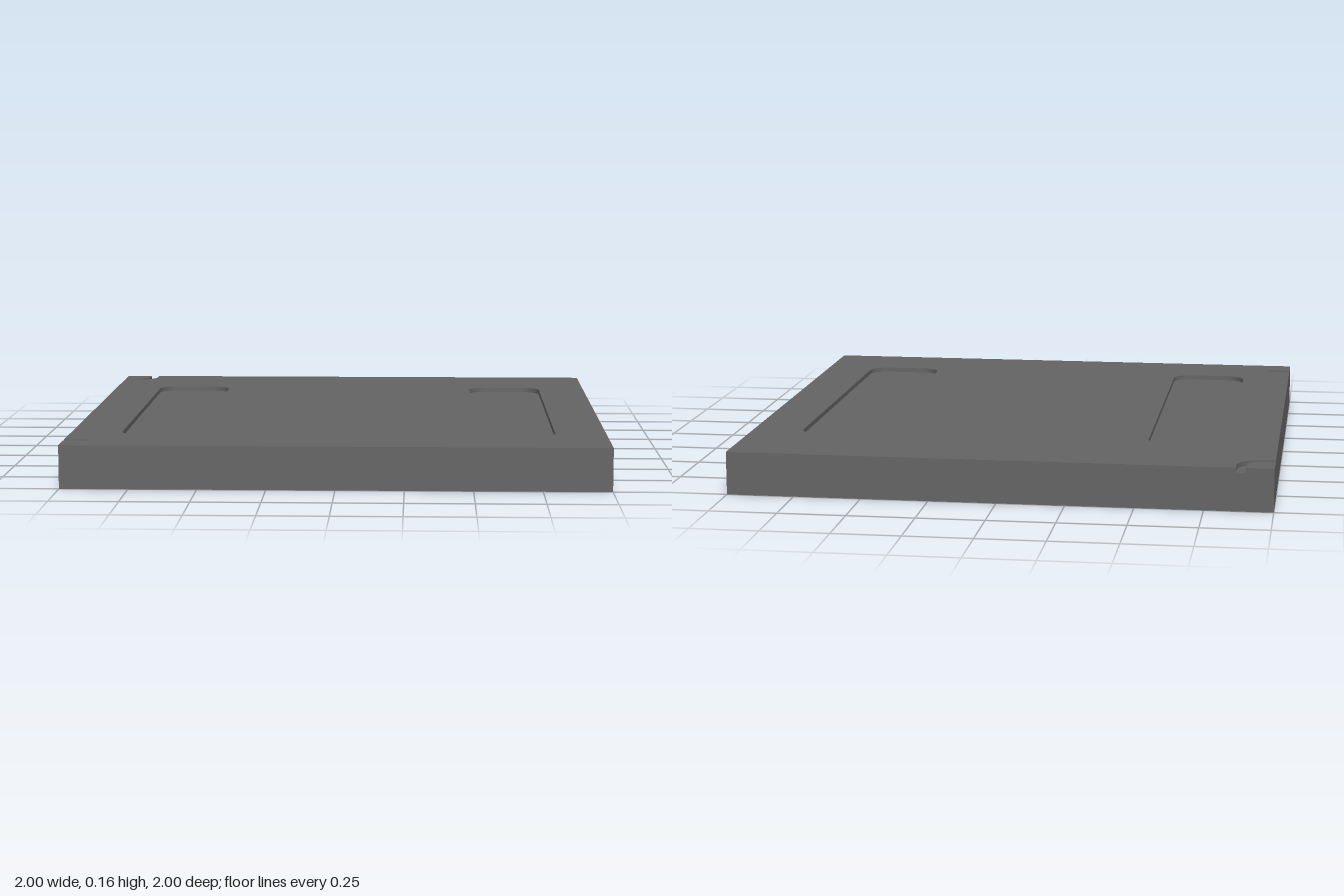
import * as THREE from 'three';
import { toCreasedNormals } from 'three/addons/utils/BufferGeometryUtils.js';

const TOP = 0.16, FLOOR = 0.142; // plate height and recess floor height
const material = new THREE.MeshStandardMaterial({ color: 0x646464, side: THREE.DoubleSide });
const v = (x, y) => new THREE.Vector2(x, y);

// Plan outlines use (x, -z)
function arc(cx, cy, r, a0, a1, n = 8) {
  return Array.from({ length: n + 1 }, (_, i) => {
    const a = a0 + (a1 - a0) * i / n;
    return v(cx + r * Math.cos(a), cy + r * Math.sin(a));
  });
}

function roundedRect(x0, x1, y0, y1, r) {
  const q = Math.PI / 2;
  return [
    ...arc(x1 - r, y1 - r, r, 0, q), ...arc(x0 + r, y1 - r, r, q, 2 * q),
    ...arc(x0 + r, y0 + r, r, 2 * q, 3 * q), ...arc(x1 - r, y0 + r, r, 3 * q, 4 * q),
  ];
}

// Rounded line around the back right corner, s away from it
const cornerLine = (s, r) => [v(s - 1, 1), ...arc(s - 1 - r, 1 - s + r, r, 0, -Math.PI / 2), v(-1, 1 - s)];

// Flat horizontal sheet at height y
function sheet(points, y, holes = []) {
  const shape = new THREE.Shape(points);
  shape.holes = holes.map((h) => new THREE.Path(h));
  return new THREE.ShapeGeometry(shape).rotateX(-Math.PI / 2).translate(0, y, 0);
}

// Vertical band between the recess floor and the plate, following a plan line
function band(points, closed = false) {
  const pos = [], index = [];
  const line = closed ? [...points, points[0]] : points;
  line.forEach((p, i) => {
    pos.push(p.x, FLOOR, -p.y, p.x, TOP, -p.y);
    if (i) {
      const a = 2 * i - 2;
      index.push(a, a + 1, a + 2, a + 1, a + 3, a + 2);
    }
  });
  const g = new THREE.BufferGeometry();
  g.setAttribute('position', new THREE.Float32BufferAttribute(pos, 3));
  g.setIndex(index);
  g.computeVertexNormals();
  return toCreasedNormals(g, 0.6);
}

// Outer wall with notches [from, to] cut in its upper edge, given left to right
function wall(notches, turn) {
  const points = [v(1, 0), v(-1, 0), v(-1, TOP)];
  for (const [a, b] of notches) points.push(v(a, TOP), v(a, FLOOR), v(b, FLOOR), v(b, TOP));
  points.push(v(1, TOP));
  return new THREE.ShapeGeometry(new THREE.Shape(points)).translate(0, 0, 1).rotateY(turn);
}

export function createModel() {
  const model = new THREE.Group();
  model.name = 'tray';
  const add = (name, geometry) => {
    const mesh = new THREE.Mesh(geometry, material);
    mesh.name = name;
    model.add(mesh);
  };

  const pockets = [
    roundedRect(-0.81, -0.515, -0.733, 0.645, 0.07),
    roundedRect(0.515, 0.81, -0.733, 0.645, 0.07),
  ];
  const outer = cornerLine(0.137, 0.095);
  const inner = cornerLine(0.103, 0.065);
  const slot = [v(-1, -0.86), ...arc(-0.922, -0.876, 0.016, Math.PI / 2, -Math.PI / 2), v(-1, -0.892)];

  // Top plate, open where the recesses are
  add('topPlate', sheet([v(-1, -1), v(1, -1), v(1, 1), ...outer, ...slot], TOP, pockets));
  add('cornerPad', sheet([v(-1, 1), ...inner], TOP));

  // Long recessed pockets
  pockets.forEach((p, i) => {
    const side = i ? 'left' : 'right';
    add(side + 'PocketFloor', sheet(p, FLOOR));
    add(side + 'PocketWall', band(p, true));
  });

  // Curved groove around the back right corner
  add('cornerGrooveFloor', sheet([...outer, ...inner.slice().reverse()], FLOOR));
  add('cornerGrooveOuterWall', band(outer));
  add('cornerGrooveInnerWall', band(inner));

  // Small slot at the front right edge
  add('slotFloor', sheet(slot, FLOOR));
  add('slotWall', band(slot));

  // Outer walls, open underneath
  add('frontWall', wall([], 0));
  add('leftWall', wall([], Math.PI / 2));
  add('backWall', wall([[0.863, 0.897]], Math.PI));
  add('rightWall', wall([[-0.897, -0.863], [0.86, 0.892]], -Math.PI / 2));

  return model;
}
